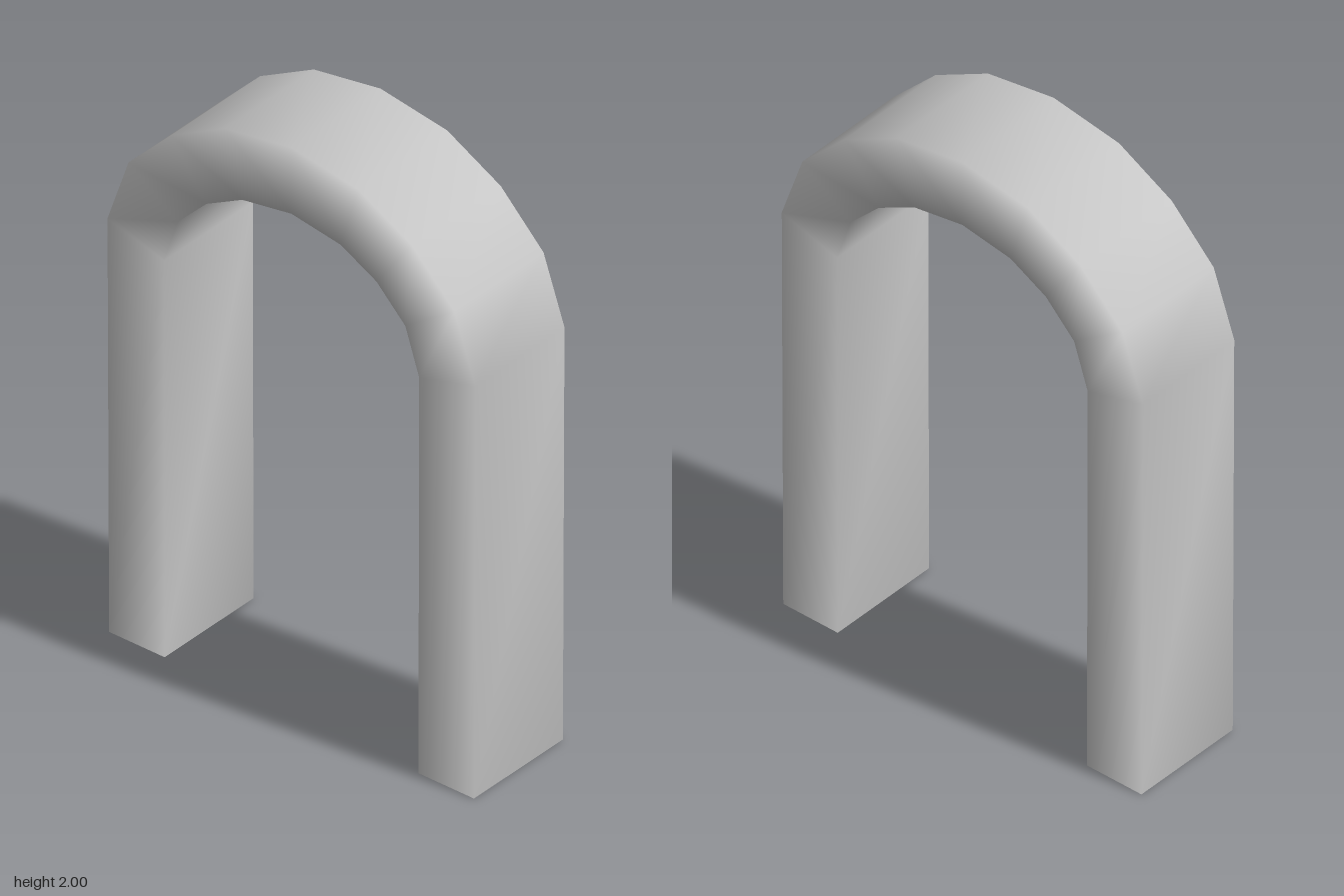
import * as THREE from 'three';

export function createModel() {
  const group = new THREE.Group();
  group.name = 'archway';
  const halfDepth = 0.205;

  // Half of the arch from foot to crown: outer x, outer y, inner x, inner y
  const half = [
    [0.697, 0, 0.485, 0],
    [0.703, 1.455, 0.488, 1.395],
    [0.623, 1.685, 0.435, 1.555],
    [0.46, 1.85, 0.325, 1.665],
    [0.255, 1.96, 0.188, 1.737],
    [0, 2, 0, 1.767],
  ];
  const mirrored = half.slice(0, -1).reverse().map(([ox, oy, ix, iy]) => [-ox, oy, -ix, iy]);
  const sections = [...half, ...mirrored];

  // Four-cornered sections joined into one band with shared, smooth corners
  const positions = [];
  const indices = [];
  for (const [ox, oy, ix, iy] of sections) {
    positions.push(ox, oy, halfDepth, ox, oy, -halfDepth, ix, iy, -halfDepth, ix, iy, halfDepth);
  }
  for (let i = 0; i < sections.length - 1; i++) {
    for (let k = 0; k < 4; k++) {
      const a = i * 4 + k;
      const b = i * 4 + (k + 1) % 4;
      indices.push(a, b, b + 4, a, b + 4, a + 4);
    }
  }

  // Flat undersides of the two feet
  const e = (sections.length - 1) * 4;
  indices.push(0, 2, 1, 0, 3, 2, e, e + 1, e + 2, e, e + 2, e + 3);

  const geometry = new THREE.BufferGeometry();
  geometry.setAttribute('position', new THREE.Float32BufferAttribute(positions, 3));
  geometry.setIndex(indices);
  geometry.computeVertexNormals();

  const arch = new THREE.Mesh(geometry, new THREE.MeshStandardMaterial({ color: 0xcccccc }));
  arch.name = 'arch';
  group.add(arch);
  return group;
}
